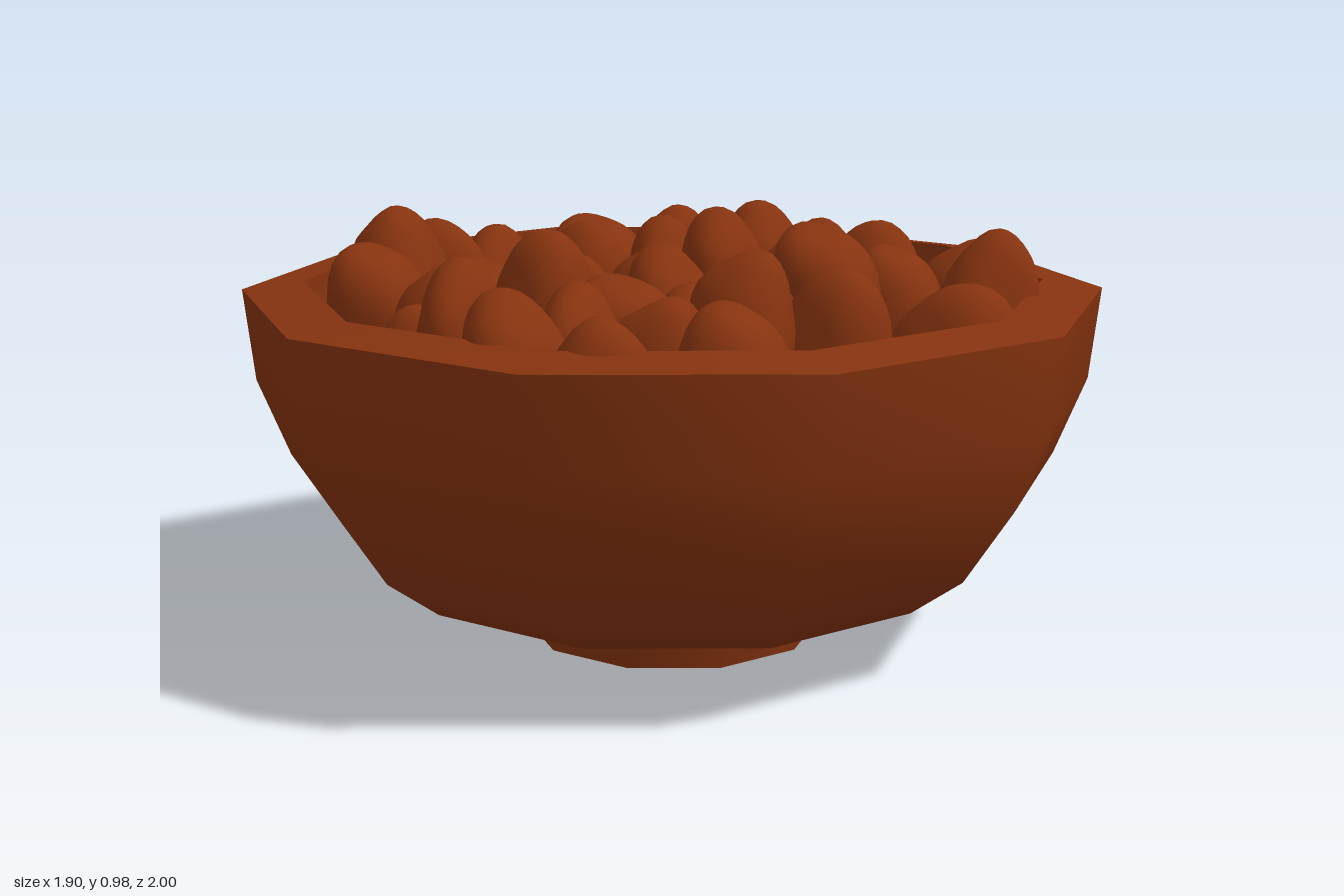
import * as THREE from 'three';
import { mergeVertices } from 'three/addons/utils/BufferGeometryUtils.js';

const brown = new THREE.MeshStandardMaterial({ color: 0x86330f });
brown.name = 'chestnut brown';

// Ten-sided ring of the bowl, smooth along its own profile
function ring(name, profile) {
  const points = profile.map(([r, y]) => new THREE.Vector2(r, y));
  const mesh = new THREE.Mesh(new THREE.LatheGeometry(points, 10), brown);
  mesh.name = name;
  return mesh;
}

// Lumpy egg shape; the seed shifts its bumps
function nutGeometry(seed) {
  const geo = new THREE.IcosahedronGeometry(1, 5);
  geo.deleteAttribute('normal');
  geo.deleteAttribute('uv');
  const merged = mergeVertices(geo, 1e-4);
  const pos = merged.attributes.position;
  const v = new THREE.Vector3();
  for (let i = 0; i < pos.count; i++) {
    v.fromBufferAttribute(pos, i);
    const bump = 0.07 * Math.sin(3.1 * v.x + seed) + 0.06 * Math.sin(3.7 * v.z - 2 * seed)
      + 0.05 * Math.sin(4.3 * v.y + 3 * seed + 2 * v.x);
    v.multiplyScalar(1 + bump);
    pos.setXYZ(i, v.x, v.y, v.z);
  }
  merged.computeVertexNormals();
  return merged;
}

// Nuts that stick out of the heap, as x, z
const tallNuts = [
  [-0.69, -0.01], [0.06, -0.18], [0.73, -0.08], [0.35, -0.03],
  [-0.21, 0.28], [0.27, 0.37], [-0.28, 0.63],
];

// Nuts along the wall, as x, z
const wallNuts = [
  [-0.20, -0.70], [0.02, -0.70], [0.18, -0.65], [-0.36, -0.51], [0.38, -0.44], [0.62, -0.37],
  [-0.58, -0.34], [-0.65, -0.19], [-0.65, 0.22], [0.69, 0.15], [-0.43, 0.35],
  [-0.12, 0.72], [0.10, 0.76], [0.31, 0.60],
];

// Lower nuts that fill the middle, as x, z
const middleNuts = [
  [0, -0.52], [-0.16, -0.45], [0.18, -0.45], [-0.47, -0.01], [-0.32, -0.30], [-0.14, -0.28],
  [0, -0.32], [0.25, -0.25], [0.48, -0.24], [0.56, -0.03], [0.18, -0.02], [-0.01, -0.01],
  [-0.27, -0.05], [-0.40, -0.21], [0.44, 0.22], [0.26, 0.11], [0.07, 0.12], [-0.19, 0.12],
  [-0.01, 0.32], [-0.24, 0.40], [0.12, 0.48], [-0.06, 0.53], [-0.39, 0.51],
];

// Upright lumpy nuts, each turned and leaning a little
function nutLayer(name, places, top, spread, width) {
  const layer = new THREE.Group();
  layer.name = name;
  const shapes = [0.4, 1.7, 2.9, 4.1, 5.3].map(nutGeometry);
  places.forEach(([x, z], i) => {
    const nut = new THREE.Mesh(shapes[i % shapes.length], brown);
    nut.name = 'nut';
    nut.scale.set(width + 0.01 * Math.sin(i * 2.9), 0.18, width + 0.01 * Math.cos(i * 2.1));
    nut.rotation.set(0.15 * Math.sin(i * 2.3), 0, 0.15 * Math.cos(i * 1.7));
    nut.position.set(x, 0, z);
    // Seat the nut so its highest point meets the layer's height
    const highest = new THREE.Box3().setFromObject(nut, true).max.y;
    nut.position.y = top + spread * Math.sin(i * 1.9) - highest;
    layer.add(nut);
  });
  return layer;
}

export function createModel() {
  const model = new THREE.Group();
  model.name = 'bowlOfNuts';

  // Bowl, split where the edges are sharp
  const bowl = new THREE.Group();
  bowl.name = 'bowl';
  bowl.add(
    ring('footBase', [[0, 0], [0.345, 0]]),
    ring('footWall', [[0.345, 0], [0.36, 0.06]]),
    ring('outerWall', [[0.36, 0.06], [0.65, 0.145], [0.78, 0.24], [0.9, 0.42], [0.975, 0.6], [1, 0.815]]),
    ring('rim', [[1, 0.815], [0.86, 0.835]]),
    ring('innerWall', [[0.86, 0.835], [0.85, 0.62], [0.79, 0.45], [0.68, 0.3], [0.5, 0.2], [0, 0.14]]),
  );
  model.add(bowl);

  // Heap of nuts
  model.add(
    nutLayer('tallNuts', tallNuts, 0.98, 0.005, 0.115),
    nutLayer('wallNuts', wallNuts, 0.91, 0.02, 0.122),
    nutLayer('middleNuts', middleNuts, 0.88, 0.04, 0.115),
  );
  return model;
}
